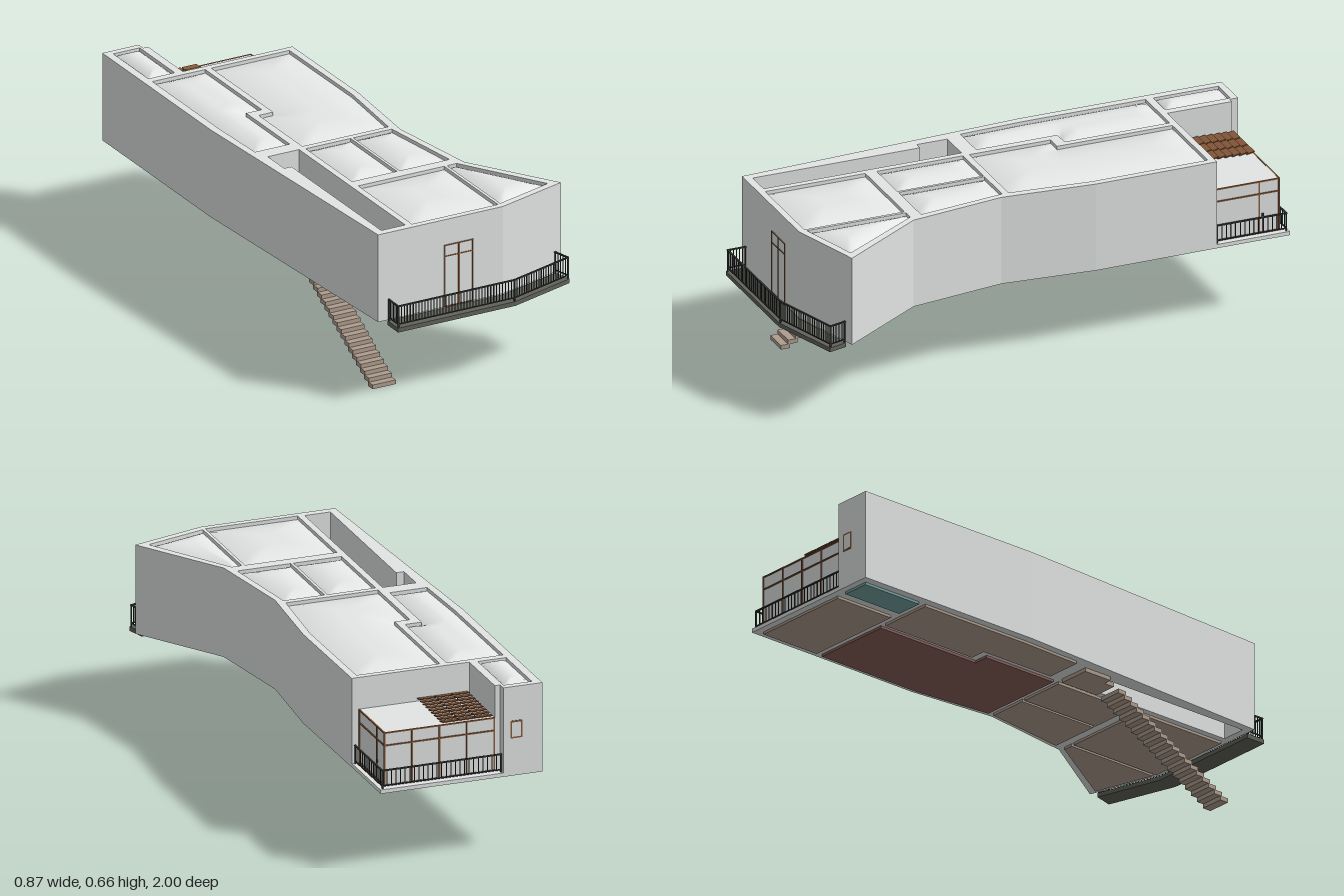
import * as THREE from 'three';
import { mergeGeometries } from 'three/addons/utils/BufferGeometryUtils.js';

const mat = (name, color, side = THREE.FrontSide) => {
  const m = new THREE.MeshStandardMaterial({ color, side });
  m.name = name;
  return m;
};

export function createModel() {
  const model = new THREE.Group();
  model.name = 'raisedPavilion';
  const concrete = mat('concrete', 0xe2e5e4);
  const membrane = mat('roofMembrane', 0xe8ebea, THREE.DoubleSide);
  const glass = mat('paleGlazing', 0xe2e5e4);
  const timber = mat('timberFrame', 0x87593a);
  const wood = mat('weatheredWood', 0xae9d8e);
  const redFloor = mat('darkRedFloor', 0x88605a);
  const teal = mat('tealFloor', 0x72a2a0);
  const slabMat = mat('darkSlab', 0x60625a);
  const iron = mat('railIron', 0x383c39);

  const add = (name, geo, material) => {
    const m = new THREE.Mesh(geo, material);
    m.name = name;
    model.add(m);
  };
  // Box given by its limits on each axis
  const box = (x0, x1, y0, y1, z0, z1) =>
    new THREE.BoxGeometry(x1 - x0, y1 - y0, z1 - z0).translate((x0 + x1) / 2, (y0 + y1) / 2, (z0 + z1) / 2);
  // Plan outline of [x, z] points, always counterclockwise from above
  const plan = (pts) => {
    const loop = pts.map(([x, z]) => new THREE.Vector2(x, -z));
    return THREE.ShapeUtils.area(loop) < 0 ? loop.reverse() : loop;
  };
  // Plan outline raised from y0 to y1
  const slab = (pts, y0, y1, holes = []) => {
    const s = new THREE.Shape(plan(pts));
    s.holes = holes.map((h) => new THREE.Path(plan(h).reverse()));
    return new THREE.ExtrudeGeometry(s, { depth: y1 - y0, bevelEnabled: false })
      .rotateX(-Math.PI / 2).translate(0, y0, 0);
  };
  // Straight bar between two points at any plan angle
  const bar = (a, b, y0, y1, w) => {
    const dx = b[0] - a[0], dz = b[1] - a[1];
    return new THREE.BoxGeometry(Math.hypot(dx, dz) + w, y1 - y0, w)
      .rotateY(-Math.atan2(dz, dx)).translate((a[0] + b[0]) / 2, (y0 + y1) / 2, (a[1] + b[1]) / 2);
  };

  // Rooms: plan outline, centre for the roof cushion, floor colour
  const rooms = [
    { name: 'tower', c: [-0.35, -0.84], floor: teal,
      p: [[-0.405, -0.972], [-0.295, -0.972], [-0.295, -0.715], [-0.405, -0.715]] },
    { name: 'sideRoom', c: [-0.32, -0.33], floor: wood,
      p: [[-0.405, -0.685], [-0.185, -0.685], [-0.185, -0.27], [-0.25, -0.27], [-0.25, 0.05], [-0.395, 0.05], [-0.405, -0.2]] },
    { name: 'mainRoom', c: [0, -0.18], floor: redFloor,
      p: [[-0.16, -0.685], [0.165, -0.685], [0.168, -0.23], [0.138, 0.09], [-0.22, 0.09], [-0.22, -0.23], [-0.16, -0.23]] },
    { name: 'middleRoomRight', c: [-0.125, 0.285], floor: wood,
      p: [[-0.22, 0.115], [-0.033, 0.115], [-0.033, 0.455], [-0.22, 0.455]] },
    { name: 'middleRoomLeft', c: [0.07, 0.285], floor: wood,
      p: [[-0.022, 0.115], [0.138, 0.115], [0.185, 0.455], [-0.022, 0.455]] },
    { name: 'frontRoom', c: [-0.04, 0.7], floor: wood,
      p: [[-0.22, 0.5], [0.138, 0.5], [0.138, 0.895], [-0.22, 0.895]] },
    { name: 'cornerRoom', c: [0.23, 0.75], floor: wood,
      p: [[0.15, 0.5], [0.19, 0.5], [0.388, 0.82], [0.15, 0.89]] },
  ];
  const stairwell = [[-0.375, 0.11], [-0.245, 0.11], [-0.245, 0.89], [-0.345, 0.89], [-0.345, 0.23], [-0.375, 0.23]];

  // Walls, open over each room and the stairwell
  const outline = [[-0.436, -0.998], [-0.285, -0.998], [-0.285, -0.965], [-0.264, -0.965], [-0.264, -0.71], [0.192, -0.71],
    [0.195, -0.23], [0.165, 0.13], [0.22, 0.5], [0.434, 0.835], [0.145, 0.92], [-0.375, 0.92], [-0.436, -0.2]];
  add('walls', slab(outline, 0.31, 0.655, [stairwell, ...rooms.map((r) => r.p)]), concrete);

  // Inflated roof cushion: rings shrinking to the centre, height rising with distance from the rim
  const cushion = (pts, c) => {
    const loop = plan(pts), edge = [], pos = [], idx = [], near = new THREE.Vector3();
    const sides = loop.map((a, i) => {
      const b = loop[(i + 1) % loop.length];
      for (let k = 0; k < 10; k++) edge.push(a.clone().lerp(b, k / 10));
      return new THREE.Line3(new THREE.Vector3(a.x, 0, -a.y), new THREE.Vector3(b.x, 0, -b.y));
    });
    const rimDistance = (p) => Math.min(...sides.map((l) => l.closestPointToPoint(p, true, near).distanceTo(p)));
    const centre = new THREE.Vector3(c[0], 0, c[1]);
    const reach = Math.min(0.15, rimDistance(centre));
    const n = edge.length, rings = 18;
    for (let r = 0; r <= rings; r++) for (const e of edge) {
      const p = new THREE.Vector3(e.x, 0, -e.y).lerp(centre, r / rings);
      const u = Math.min(1, rimDistance(p) / reach);
      pos.push(p.x, 0.641 + 0.023 * (1 - (1 - u) ** 2), p.z);
    }
    for (let r = 0; r < rings; r++) for (let i = 0; i < n; i++) {
      const j = (i + 1) % n, a = r * n, b = a + n;
      idx.push(a + i, a + j, b + j);
      if (r < rings - 1) idx.push(a + i, b + j, b + i);
    }
    const g = new THREE.BufferGeometry();
    g.setAttribute('position', new THREE.Float32BufferAttribute(pos, 3));
    g.setIndex(idx);
    g.computeVertexNormals();
    return g;
  };
  for (const r of rooms) {
    add(r.name + 'RoofCushion', cushion(r.p, r.c), membrane);
    add(r.name + 'Floor', slab(r.p, 0.3, 0.312), r.floor);
  }

  // Landing and stairs
  add('stairLanding', slab([[-0.375, 0.11], [-0.245, 0.11], [-0.245, 0.275], [-0.342, 0.275], [-0.342, 0.23], [-0.375, 0.23]],
    0.295, 0.31), wood);
  const steps = [], count = 18;
  for (let i = 0; i < count; i++) {
    const y = (0.278 * i) / (count - 1), z = 0.822 - (0.49 * i) / (count - 1);
    steps.push(box(-0.342, -0.246, y, y + 0.0165, z - 0.036, z));
  }
  add('stairs', mergeGeometries(steps), wood);

  // Railing along a path of [x, z] points
  const railing = (name, path, y0, y1, pitch) => {
    const parts = [];
    for (let i = 0; i < path.length - 1; i++) {
      const a = path[i], b = path[i + 1];
      parts.push(bar(a, b, y1 - 0.005, y1, 0.006), bar(a, b, y0, y0 + 0.004, 0.004));
      const n = Math.round(Math.hypot(b[0] - a[0], b[1] - a[1]) / pitch);
      for (let k = 0; k <= n; k++) {
        const x = a[0] + ((b[0] - a[0]) * k) / n, z = a[1] + ((b[1] - a[1]) * k) / n;
        const post = k === 0 || k === n, w = post ? 0.0025 : 0.0014;
        parts.push(box(x - w, x + w, post ? y0 - 0.012 : y0, y1, z - w, z + w));
      }
    }
    add(name, mergeGeometries(parts), iron);
  };

  // Front balcony
  add('balconySlab', slab([[-0.337, 0.92], [0.145, 0.92], [0.404, 0.845], [0.424, 0.917], [0.152, 1], [-0.337, 1]],
    0.291, 0.308), slabMat);
  railing('balconyRailing', [[-0.333, 0.925], [-0.333, 0.994], [0.151, 0.994], [0.419, 0.913], [0.402, 0.85]], 0.319, 0.394, 0.0125);

  // Front door
  const zf = 0.917, zd = 0.923;
  add('doorGlass', box(-0.1, 0.02, 0.312, 0.555, zf, 0.921), glass);
  add('doorFrame', mergeGeometries([
    box(-0.1, -0.096, 0.31, 0.555, zf, zd), box(0.016, 0.02, 0.31, 0.555, zf, zd),
    box(-0.043, -0.037, 0.31, 0.555, zf, zd), box(-0.1, 0.02, 0.551, 0.555, zf, zd),
    box(-0.1, 0.02, 0.508, 0.512, zf, zd), box(-0.1, 0.02, 0.31, 0.314, zf, zd)]), timber);

  // Rear terrace and glazed room
  add('terraceSlab', box(-0.29, 0.192, 0.31, 0.325, -0.998, -0.71), concrete);
  add('terraceSoffit', box(-0.25, 0.16, 0.3, 0.312, -0.97, -0.715), wood);
  add('glazedRoom', box(-0.264, 0.163, 0.325, 0.532, -0.965, -0.71), glass);
  const frame = [];
  for (const y of [0.325, 0.479, 0.528]) {
    frame.push(box(-0.264, 0.167, y, y + 0.005, -0.969, -0.963), box(0.161, 0.167, y, y + 0.005, -0.969, -0.71));
  }
  for (let i = 0; i <= 4; i++) {
    const x = -0.261 + 0.4255 * (i / 4);
    frame.push(box(x - 0.0025, x + 0.0025, 0.325, 0.533, -0.969, -0.963));
  }
  for (const z of [-0.887, -0.714]) frame.push(box(0.161, 0.167, 0.325, 0.533, z - 0.0025, z + 0.0025));
  add('glazingFrame', mergeGeometries(frame), timber);
  add('doorHandle', box(0.166, 0.171, 0.395, 0.405, -0.903, -0.896), iron);
  railing('terraceRailing', [[-0.28, -0.987], [0.181, -0.987], [0.181, -0.715]], 0.333, 0.397, 0.018);

  // Tilted sunshade slats over the glazed room
  const slats = [];
  for (let col = 0; col < 3; col++) for (let i = 0; i < 9; i++) {
    slats.push(new THREE.BoxGeometry(0.061, 0.004, 0.033).rotateX(0.2)
      .translate(-0.224 + col * 0.066, 0.538 + (0.007 * i) / 8, -0.951 + 0.0283 * i));
  }
  add('sunshadeSlats', mergeGeometries(slats), timber);

  // Small tower window
  add('towerWindowFrame', box(-0.358, -0.312, 0.455, 0.523, -0.9995, -0.99), timber);
  add('towerWindowGlass', box(-0.352, -0.318, 0.461, 0.517, -1, -0.991), glass);
  return model;
}
